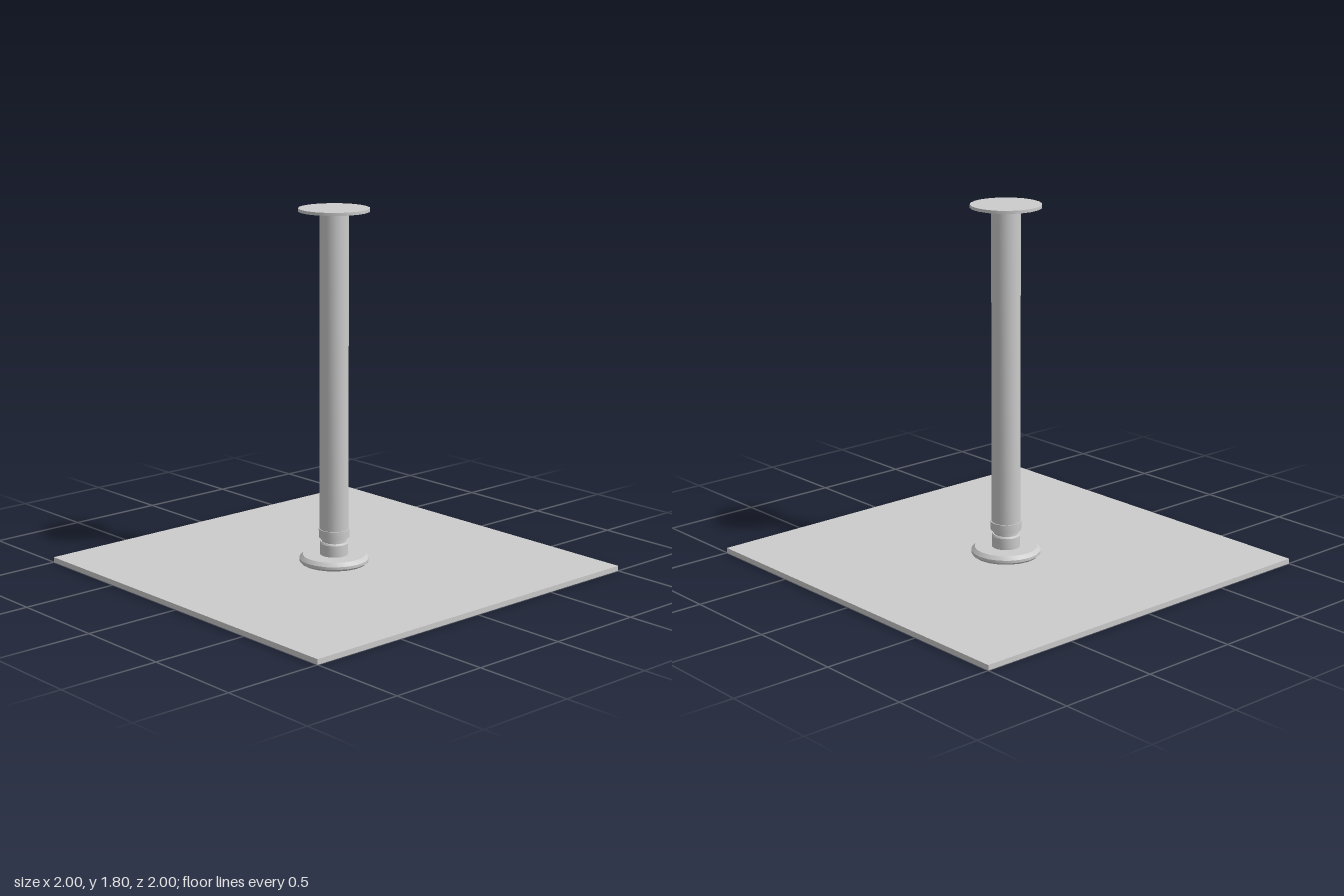
import * as THREE from 'three';
import { toCreasedNormals } from 'three/addons/utils/BufferGeometryUtils.js';

const material = new THREE.MeshStandardMaterial({ color: 0xcccccc });

function addMesh(group, name, geometry) {
  const mesh = new THREE.Mesh(geometry, material);
  mesh.name = name;
  group.add(mesh);
  return mesh;
}

// Turned part from [radius, height] pairs, listed bottom to top
function turned(profile, segments = 20) {
  const points = profile.map(([r, y]) => new THREE.Vector2(r, y));
  return toCreasedNormals(new THREE.LatheGeometry(points, segments), 0.4);
}

function square(PathType, h) {
  return new PathType([[-h, -h], [h, -h], [h, h], [-h, h]].map(([x, y]) => new THREE.Vector2(x, y)));
}

export function createModel() {
  const model = new THREE.Group();
  model.name = 'pedestal';
  const recess = 0.008;
  const plateTop = 0.026;

  // Square plate with a shallow square recess underneath
  const plate = new THREE.Group();
  plate.name = 'basePlate';
  model.add(plate);
  addMesh(plate, 'plateSlab', new THREE.BoxGeometry(2, plateTop - recess, 2))
    .position.y = (plateTop + recess) / 2;
  const rimShape = square(THREE.Shape, 1);
  rimShape.holes.push(square(THREE.Path, 0.7));
  const rim = new THREE.ExtrudeGeometry(rimShape, { depth: recess, bevelEnabled: false });
  rim.rotateX(-Math.PI / 2);
  addMesh(plate, 'plateRim', rim);

  // Round chamfered flange on the plate
  addMesh(model, 'lowerFlange', turned([
    [0, plateTop], [0.165, plateTop], [0.175, 0.036], [0.175, 0.05],
    [0.158, 0.068], [0, 0.068],
  ]));

  // Stepped neck joint with a groove
  addMesh(model, 'neckJoint', turned([
    [0.071, 0.06], [0.071, 0.126], [0.066, 0.134], [0.06, 0.134],
    [0.06, 0.145], [0.066, 0.145], [0.066, 0.16],
  ]));

  // Collar at the foot of the column
  addMesh(model, 'collar', turned([
    [0, 0.157], [0.077, 0.157], [0.077, 0.2], [0.07, 0.2],
  ]));

  // Tall column
  addMesh(model, 'column', turned([[0.072, 0.195], [0.072, 1.79]]));

  // Thin top disc with a slightly conical underside
  addMesh(model, 'topDisc', turned([
    [0, 1.78], [0.085, 1.78], [0.175, 1.79], [0.175, 1.805], [0, 1.805],
  ]));

  return model;
}
